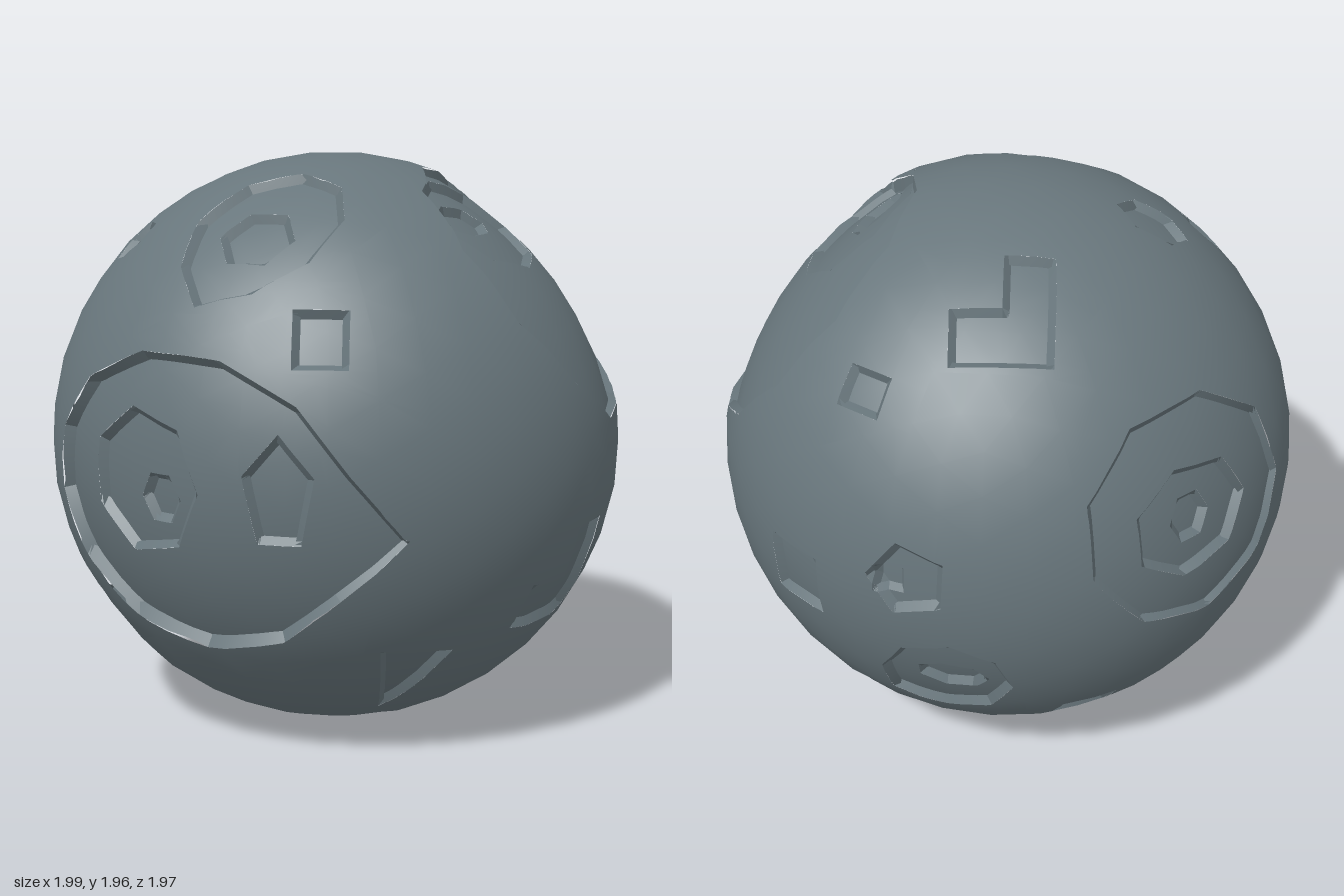
import * as THREE from 'three';

const R = 0.998, CY = 0.982;
const rad = THREE.MathUtils.degToRad;

// Each hollow: longitude, latitude, two half sizes, sides (0 = L shape), turn, stretch of the first corner
const BASINS = [
  [-22, -6, 0.74, 0.57, 13, -8, 1.35],
  [88, 40, 0.63, 0.62, 11, -105, 1.08],
];
const SHALLOWS = [
  [140, -89, 0.45, 0.42, 9],
  [225, 12, 0.43, 0.48, 9, 75],
  [267, -13, 0.52, 0.2, 9, 56],
];
const RINGS = [
  [-32, -2, 0.27, 0.26, 7, 100],
  [-63, -35, 0.24, 0.14, 7, -63],
  [-13, 52, 0.33, 0.26, 9, -112, 1.15],
  [76, 55, 0.33, 0.25, 8],
  [172, -22, 0.24, 0.22, 8, 220, 1.2],
  [320, -84, 0.3, 0.19, 6],
  [224, 11, 0.26, 0.21, 7],
  [125, -40, 0.31, 0.1, 4, -14],
  [166, 5, 0.15, 0.14, 5, 36],
];
const PITS = [
  [-28, -5, 0.09, 0.1, 6],
  [-1, -2, 0.21, 0.13, 5, 90],
  [7, 27, 0.09, 0.1, 4],
  [28, -43, 0.27, 0.15, 3, -95],
  [-58, -36, 0.11, 0.05, 4, -63],
  [-14, 50, 0.14, 0.14, 6],
  [-87, 61, 0.14, 0.11, 6, 90],
  [-66, 45, 0.08, 0.1, 6],
  [183, 58, 0.17, 0.2, 0],
  [150, 38, 0.08, 0.07, 4],
  [68, 57, 0.17, 0.09, 7],
  [66, -23, 0.19, 0.19, 0],
  [140, -4, 0.11, 0.12, 4],
  [132, -40, 0.06, 0.045, 4, -12],
  [162, 4, 0.05, 0.05, 4],
  [173, -22, 0.13, 0.08, 7],
  [205, -40, 0.1, 0.09, 4],
  [320, -84, 0.1, 0.05, 5],
  [224, 11, 0.09, 0.1, 6],
];
const L_SHAPE = [[0, 1], [0, 0], [-1, 0], [-1, -1], [1, -1], [1, 1]];

// Outline of a hollow on the plane touching the ball at its centre
function outline(ra, rb, sides, turn, tip) {
  let pts = L_SHAPE;
  if (sides) {
    // four-sided hollows are boxes lying along their axes
    const start = sides === 4 ? Math.PI / 4 : 0, size = sides === 4 ? Math.SQRT2 : 1;
    pts = Array.from({ length: sides }, (_, i) => {
      const a = start + i / sides * Math.PI * 2, r = size * (i ? 1 : tip);
      return [r * Math.cos(a), r * Math.sin(a)];
    });
  }
  const origin = new THREE.Vector2();
  return pts.map(([x, y]) => new THREE.Vector2(x * ra, y * rb).rotateAround(origin, rad(turn)));
}

const mix = (a, b, t) => ({ p: a.p.clone().lerp(b.p, t), n: a.n.clone().lerp(b.n, t) });

// Cuts a triangle by a plane through the ball's centre
function splitTriangle(tri, side, out) {
  const s = tri.map(side);
  if (Math.min(...s) > -1e-5 || Math.max(...s) < 1e-5) {
    out.push(tri);
    return;
  }
  for (const sign of [1, -1]) {
    const piece = [];
    for (let i = 0; i < 3; i++) {
      const j = (i + 1) % 3, si = s[i] * sign, sj = s[j] * sign;
      if (si > -1e-5) piece.push(tri[i]);
      if ((si > 1e-5 && sj < -1e-5) || (si < -1e-5 && sj > 1e-5)) piece.push(mix(tri[i], tri[j], si / (si - sj)));
    }
    for (let i = 1; i + 1 < piece.length; i++) out.push([piece[0], piece[i], piece[i + 1]]);
  }
}

// Presses one hollow, with sloping walls, into the surface
function carve(tris, depth, slope, bowl, [lon, lat, ra, rb, sides, turn = 0, tip = 1]) {
  const width = Math.min(depth / slope, rb * 0.3);
  const c = new THREE.Vector3().setFromSphericalCoords(1, rad(90 - lat), rad(lon));
  const ax = new THREE.Vector3(0, 1, 0).cross(c).normalize(), ay = c.clone().cross(ax);
  const flat = (p) => new THREE.Vector2(p.dot(ax), p.dot(ay)).divideScalar(p.dot(c));
  const poly = outline(ra, rb, sides, turn, tip);
  const box = new THREE.Box2().setFromPoints(poly);
  const reach2 = Math.max(...poly.map((p) => p.lengthSq()));
  const edges = poly.map((a, i) => {
    const b = poly[(i + 1) % poly.length], d = b.clone().sub(a), len = d.length();
    d.divideScalar(len);
    return { a, b, d, len, n: new THREE.Vector2(-d.y, d.x) };
  });
  // distance to the rim, positive inside, and the nearest edge's inward direction
  const inside = (q) => {
    let dist = Infinity, odd = false, inward;
    for (const { a, b, d, len, n } of edges) {
      const t = THREE.MathUtils.clamp((q.x - a.x) * d.x + (q.y - a.y) * d.y, 0, len);
      const far = Math.hypot(q.x - a.x - d.x * t, q.y - a.y - d.y * t);
      if (far < dist) {
        dist = far;
        inward = n;
      }
      if ((a.y > q.y) !== (b.y > q.y) && q.x < (b.x - a.x) * (q.y - a.y) / (b.y - a.y) + a.x) odd = !odd;
    }
    return { dist: odd ? dist : -dist, inward };
  };
  const near = (t) => t.every((v) => v.p.dot(c) > 0.2) &&
    box.intersectsBox(new THREE.Box2().setFromPoints(t.map((v) => flat(v.p))));

  // cut the surface along the rim and the foot of the walls
  const kept = [];
  let work = tris;
  for (const { a, n } of edges) {
    for (const offset of [0, width]) {
      const next = [];
      for (const t of work) {
        if (near(t)) splitTriangle(t, (v) => flat(v.p).sub(a).dot(n) - offset, next);
        else kept.push(t);
      }
      work = next;
    }
  }

  // lower everything inside the rim and lean its normals to match
  const tilt = 2 * bowl / reach2;
  for (const t of work) {
    const { dist, inward } = inside(flat(t.reduce((s, v) => s.add(v.p), new THREE.Vector3())));
    if (dist <= 0) {
      kept.push(t);
      continue;
    }
    const wall = dist < width ? depth / width : 0;
    kept.push(t.map(({ p, n }) => {
      const q = flat(p), f = THREE.MathUtils.clamp(inside(q).dist / width, 0, 1);
      const drop = f * (depth + bowl * Math.max(0, 1 - q.lengthSq() / reach2));
      return {
        p: p.clone().setLength(p.length() - drop),
        n: n.clone().addScaledVector(ax, wall * inward.x - tilt * q.x).addScaledVector(ay, wall * inward.y - tilt * q.y),
      };
    }));
  }
  return kept;
}

export function createModel() {
  const group = new THREE.Group();
  group.name = 'crateredMoon';
  const rock = new THREE.MeshStandardMaterial({ color: 0x68767c });
  rock.name = 'greyRock';

  // ball
  const ball = new THREE.IcosahedronGeometry(R, 6).getAttribute('position');
  let tris = [];
  for (let i = 0; i < ball.count; i += 3) {
    tris.push([0, 1, 2].map((k) => {
      const p = new THREE.Vector3().fromBufferAttribute(ball, i + k);
      return { p, n: p.clone().normalize() };
    }));
  }

  // hollows, from the widest to the smallest
  for (const h of BASINS) tris = carve(tris, 0.02, 1, 0.035, h);
  for (const h of SHALLOWS) tris = carve(tris, 0.02, 1, 0.005, h);
  for (const h of RINGS) tris = carve(tris, 0.025, 1.1, 0.005, h);
  for (const h of PITS) tris = carve(tris, 0.025, 1.1, 0, h);

  // surface with the normals worked out above
  const positions = [], normals = [];
  for (const { p, n } of tris.flat()) {
    positions.push(...p.toArray());
    normals.push(...n.clone().normalize().toArray());
  }
  const geometry = new THREE.BufferGeometry();
  geometry.setAttribute('position', new THREE.Float32BufferAttribute(positions, 3));
  geometry.setAttribute('normal', new THREE.Float32BufferAttribute(normals, 3));
  const surface = new THREE.Mesh(geometry, rock);
  surface.name = 'moonSurface';
  surface.position.y = CY;
  group.add(surface);
  return group;
}
